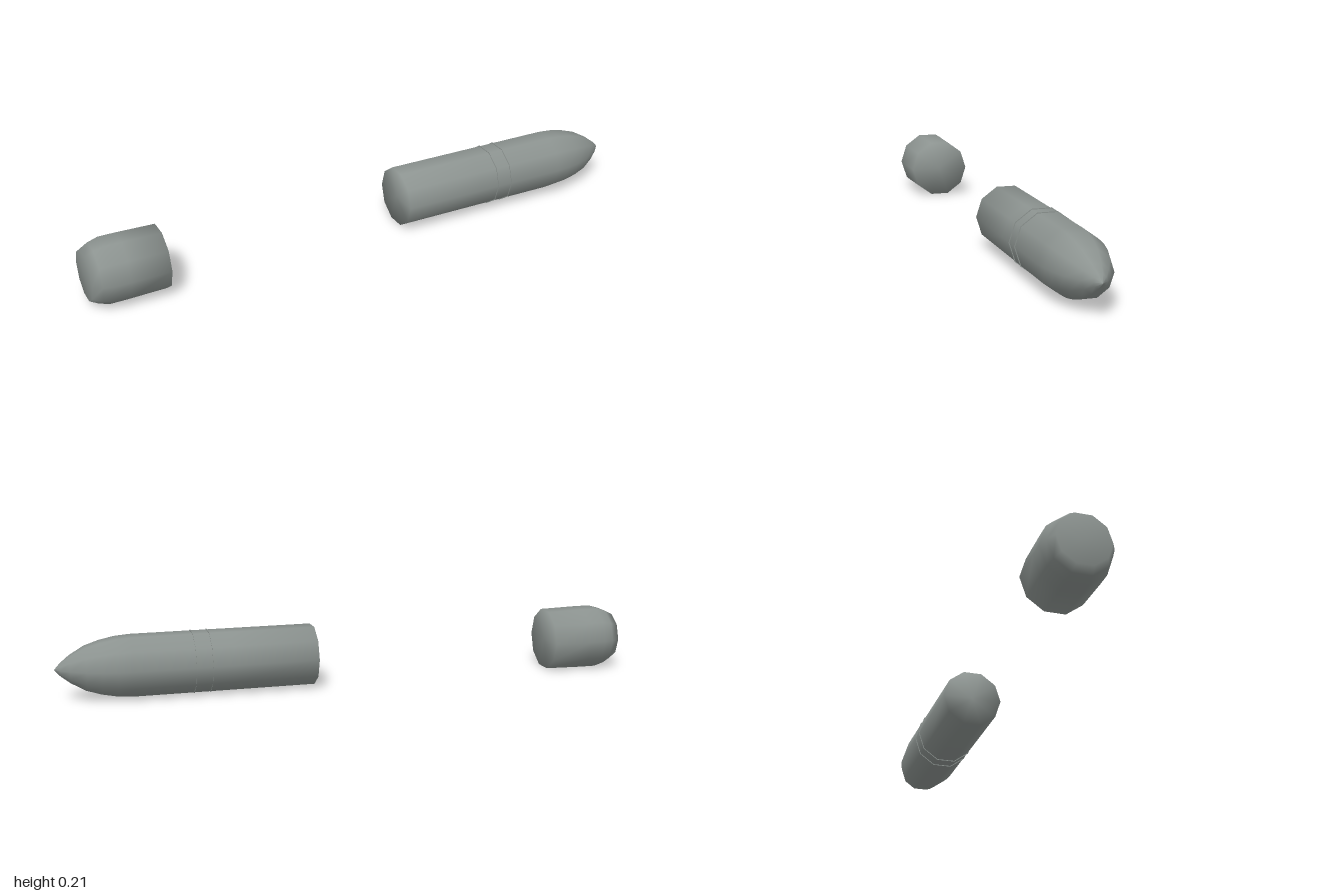
import * as THREE from 'three';

const SIDES = 10;
const AXIS_Y = 0.1075;

export function createModel() {
  const model = new THREE.Group();
  const material = new THREE.MeshStandardMaterial({ color: 0x8c9390 });

  const add = (parent, name, geometry) => {
    const mesh = new THREE.Mesh(geometry, material);
    mesh.name = name;
    parent.add(mesh);
  };

  // Smooth solid turned around the long axis, from [position along x, radius] pairs
  const turned = (profile) => new THREE.LatheGeometry(
    profile.map(([x, r]) => new THREE.Vector2(r, x)), SIDES).rotateZ(-Math.PI / 2);

  // Projectile: straight body running into a pointed nose
  const projectile = new THREE.Group();
  projectile.name = 'projectile';
  add(projectile, 'bodyAndNose', turned([
    [0.128, 0], [0.128, 0.105], [0.42, 0.105], [0.75, 0.105], [0.8, 0.101],
    [0.85, 0.091], [0.9, 0.075], [0.95, 0.046], [0.98, 0.022], [1, 0],
  ]));

  // Two thin raised rings around the middle of the body
  for (const [name, x] of [['rearRing', 0.49], ['frontRing', 0.545]]) {
    add(projectile, name, new THREE.CylinderGeometry(0.108, 0.108, 0.002, SIDES)
      .rotateZ(-Math.PI / 2).translate(x, 0, 0));
  }

  // Separate rear plug with a rounded back edge
  const plug = new THREE.Group();
  plug.name = 'rearPlug';
  add(plug, 'plugBody', turned([
    [-1, 0], [-1, 0.086], [-0.97, 0.102], [-0.935, 0.112], [-0.88, 0.112],
    [-0.745, 0.109], [-0.745, 0],
  ]));

  model.add(projectile, plug);
  for (const part of model.children) part.position.y = AXIS_Y;
  return model;
}
